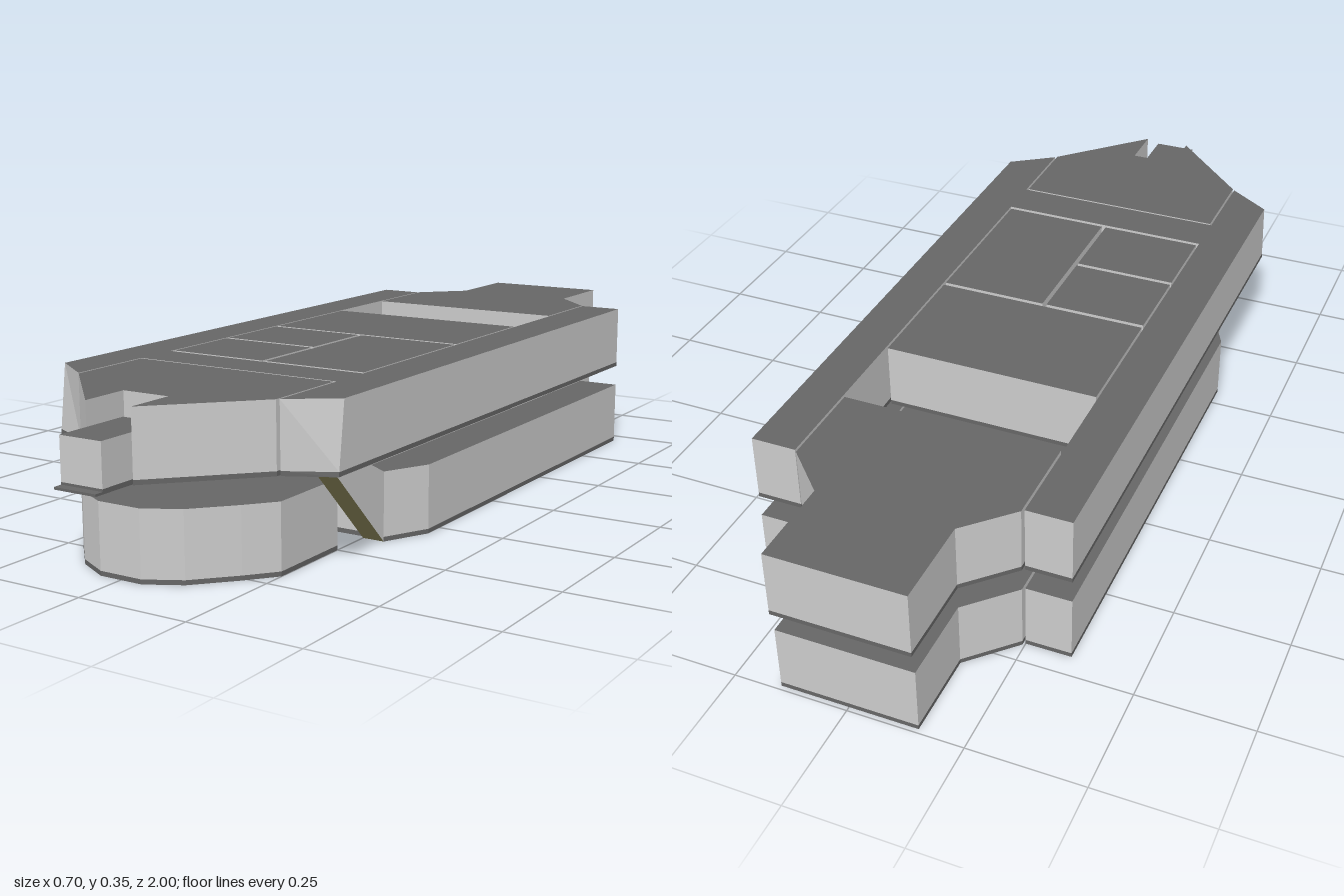
import * as THREE from 'three';

const mat = (color) => new THREE.MeshStandardMaterial({ color, flatShading: true });

export function createModel() {
  const root = new THREE.Group();
  const wall = mat(0xcccccc), dark = mat(0x666666), olive = mat(0x888458);
  const H = 0.15, FLOOR = 0.01;

  // plan outline [x, z] raised along y
  const prism = (pts, y, h) => {
    const shape = new THREE.Shape(pts.map(([x, z]) => new THREE.Vector2(x, -z)));
    const g = new THREE.ExtrudeGeometry(shape, { depth: h, bevelEnabled: false });
    return g.rotateX(-Math.PI / 2).translate(0, y, 0);
  };
  // a thin floor plate with walls and a roof standing on it
  const slab = (name, pts, y, under = dark, h = H, edit = (g) => g) => {
    const part = new THREE.Group();
    part.name = name;
    const floor = new THREE.Mesh(edit(prism(pts, y, FLOOR)), [under, dark]);
    const body = new THREE.Mesh(edit(prism(pts, y + FLOOR, h - FLOOR)), [dark, wall]);
    floor.name = name + 'Floor';
    body.name = name + 'Body';
    part.add(floor, body);
    root.add(part);
  };
  const rect = (x0, x1, z0, z1) => [[x0, z0], [x1, z0], [x1, z1], [x0, z1]];
  // full outline from its +x half
  const both = (half) => [...half, ...half.map(([x, z]) => [-x, z]).reverse()];

  // tail and room blocks, the same on both decks
  for (const [deck, y, back] of [['lower', 0, -0.99], ['upper', 0.2, -1]]) {
    slab(deck + 'Tail', both([[0.15, back], [0.15, -0.8], [0.245, -0.705], [0.245, -0.5]]), y);
    slab(deck + 'RearRoom', rect(-0.245, 0.245, -0.3, -0.01), y);
    slab(deck + 'LeftRoom', rect(0, 0.245, 0, 0.39), y);
    slab(deck + 'RightRearRoom', rect(-0.245, -0.01, 0, 0.19), y);
    slab(deck + 'RightFrontRoom', rect(-0.245, -0.01, 0.2, 0.39), y);
  }

  // lower side rails and the slanted struts up to the upper deck
  const profile = new THREE.Shape([[0.4, 0], [0.6, 0.2], [0.5, 0.2], [0.4, 0.15]]
    .map(([z, y]) => new THREE.Vector2(z, y)));
  for (const s of [1, -1]) {
    const side = s > 0 ? 'left' : 'right';
    const rail = [[0.25, -0.7], [0.35, -0.7], [0.35, 0.3], [0.3, 0.4], [0.25, 0.4]];
    slab(side + 'LowerRail', rail.map(([x, z]) => [s * x, z]), 0, olive);
    const g = new THREE.ExtrudeGeometry(profile, { depth: 0.05, bevelEnabled: false });
    g.rotateY(-Math.PI / 2).translate(s > 0 ? 0.3 : -0.25, 0, 0);
    const strut = new THREE.Mesh(g, [wall, olive]);
    strut.name = side + 'Strut';
    root.add(strut);
  }

  // lower rounded front section
  slab('lowerFront', both([[0.15, 0.4], [0.25, 0.5], [0.25, 0.7], [0.2, 0.76],
    [0.125, 0.84], [0.05, 0.88]]), 0);

  // upper rails joined by a cross bridge; outer front corners lean back
  const lean = (g) => {
    const p = g.attributes.position;
    for (let i = 0; i < p.count; i++) {
      if (Math.abs(p.getX(i)) > 0.34 && p.getZ(i) > 0.6) {
        p.setZ(i, 0.65 - 0.02 * (p.getY(i) - 0.2) / H);
      }
    }
    g.computeVertexNormals();
    return g;
  };
  slab('upperRailFrame', both([[0.25, 0.4], [0.25, -0.7], [0.35, -0.7], [0.35, 0.65],
    [0.25, 0.7], [0.25, 0.5]]), 0.2, olive, H, lean);

  // upper nose with a notch that holds the front bar
  slab('upperNose', both([[0.245, 0.505], [0.245, 0.705], [0.055, 0.9], [0.055, 0.79]]), 0.2);
  slab('frontBar', rect(-0.05, 0.05, 0.8, 0.98), 0.2, dark, 0.1);
  const lip = new THREE.Mesh(prism(rect(-0.05, 0.05, 0.98, 1), 0.2, 0.005), dark);
  lip.name = 'frontLip';
  root.add(lip);

  return root;
}
